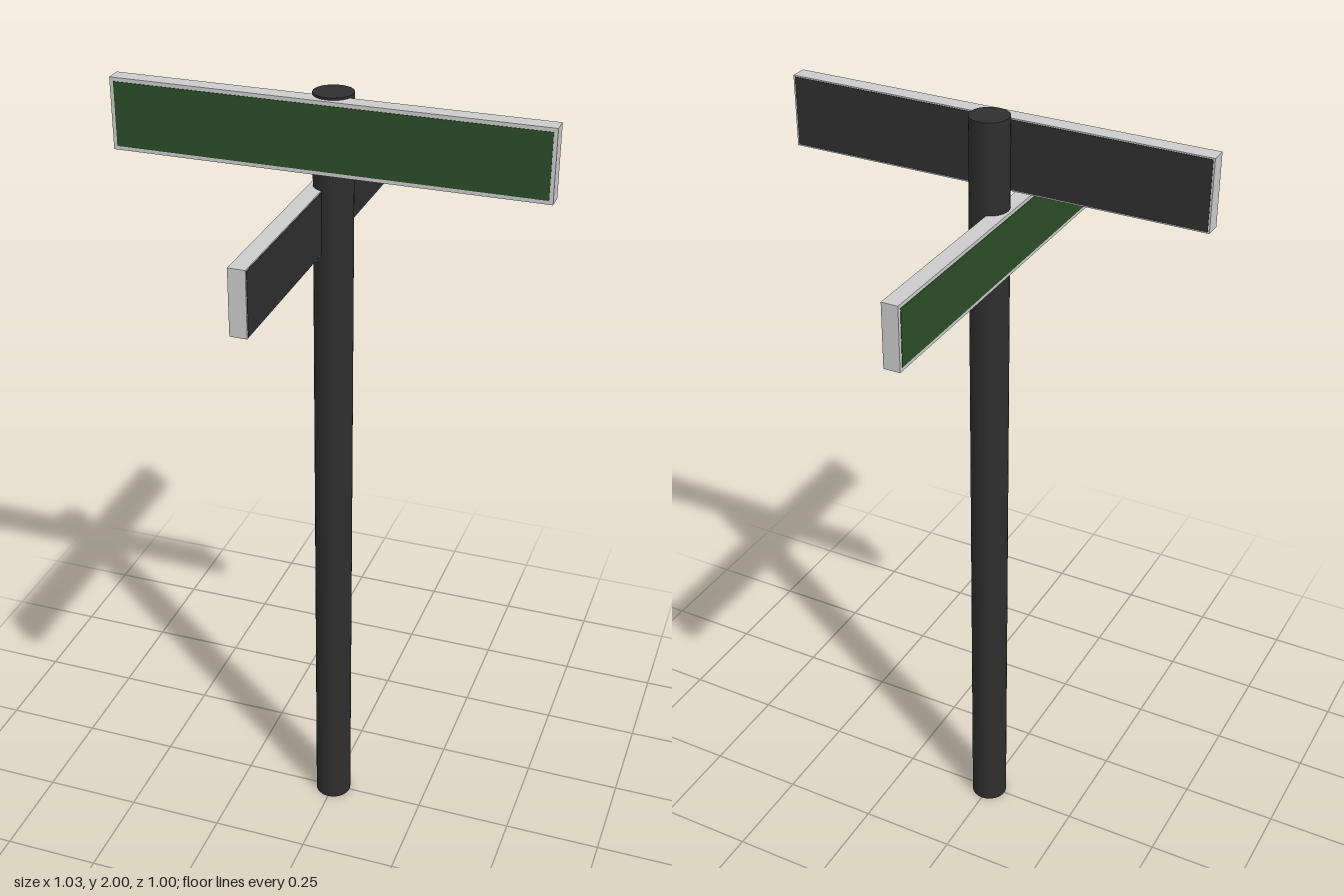
import * as THREE from 'three';

const grey = new THREE.MeshStandardMaterial({ color: 0xcccccc });
const dark = new THREE.MeshStandardMaterial({ color: 0x2e2e2e });
const green = new THREE.MeshStandardMaterial({ color: 0x2a4d26 });

function addBox(parent, name, size, z, material) {
  const mesh = new THREE.Mesh(new THREE.BoxGeometry(...size), material);
  mesh.name = name;
  mesh.position.z = z;
  parent.add(mesh);
}

// A street sign: grey board, green panel on +z, dark panel on -z
function createSign(name, width, height, depth) {
  const sign = new THREE.Group();
  sign.name = name;
  const skin = 0.001;
  addBox(sign, 'signBoard', [width, height, depth - 2 * skin], 0, grey);
  const z = depth / 2 - skin;
  addBox(sign, 'signFace', [width - 0.018, height - 0.018, 2 * skin], z, green);
  addBox(sign, 'signBack', [width - 0.008, height - 0.006, 2 * skin], -z, dark);
  return sign;
}

export function createModel() {
  const model = new THREE.Group();
  model.name = 'streetSignPost';

  // Round post
  const post = new THREE.Mesh(new THREE.CylinderGeometry(0.047, 0.047, 2, 32), dark);
  post.name = 'post';
  post.position.y = 1;
  model.add(post);

  // Upper sign, facing the front
  const upper = createSign('upperSign', 1.03, 0.17, 0.042);
  upper.position.set(0, 1.91, 0.037);
  model.add(upper);

  // Lower sign, turned to face -x
  const lower = createSign('lowerSign', 1.0, 0.155, 0.042);
  lower.rotation.y = -Math.PI / 2;
  lower.position.set(-0.034, 1.706, 0);
  model.add(lower);

  return model;
}
